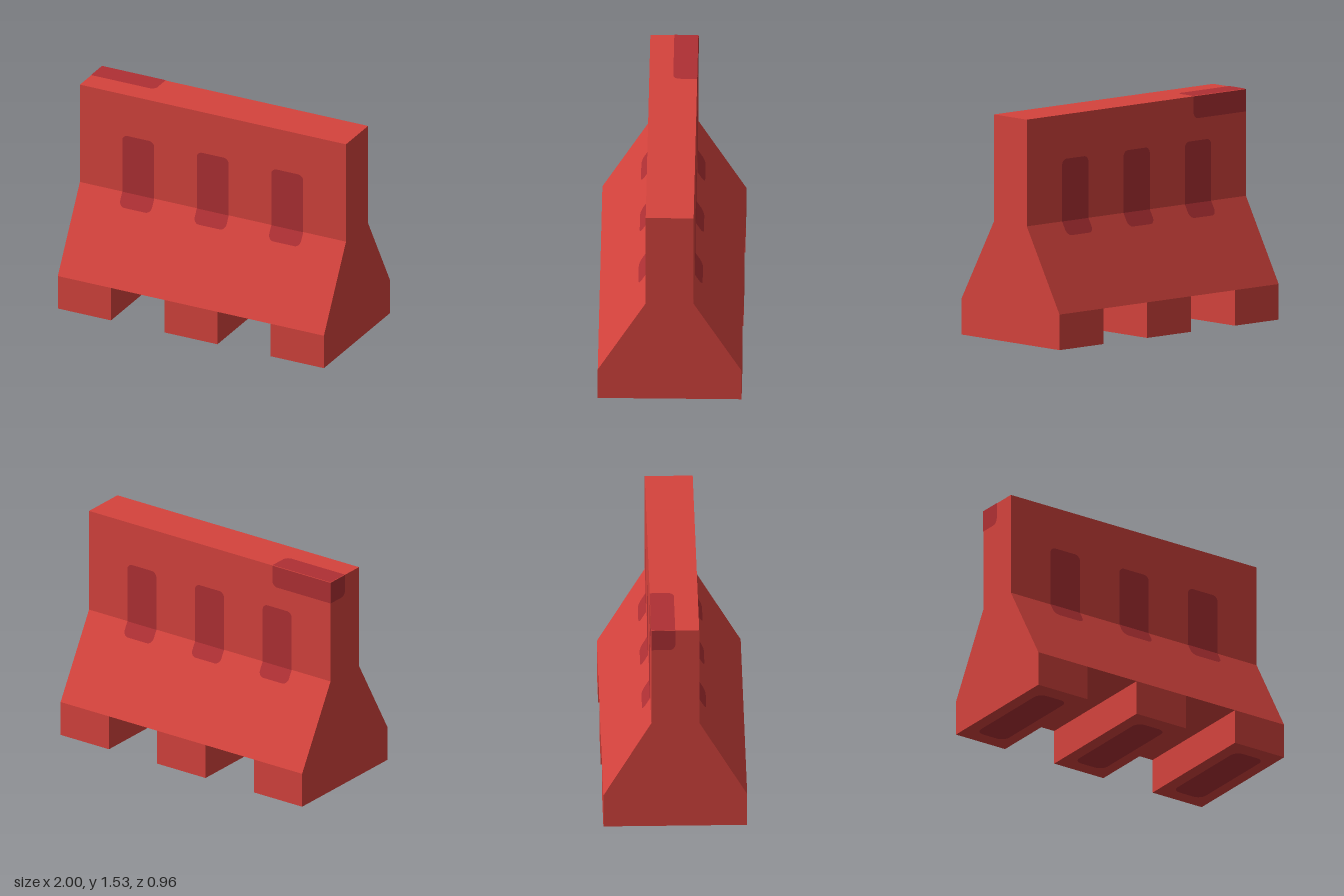
import * as THREE from 'three';

const GAP = 0.003; // how far painted faces sit off the surface

// Rectangle with its own radius per corner: bottom left, bottom right, top right, top left
function panel(x0, y0, x1, y1, [bl, br, tr, tl]) {
  const s = new THREE.Shape();
  s.moveTo(x0 + bl, y0);
  s.lineTo(x1 - br, y0);
  if (br) s.absarc(x1 - br, y0 + br, br, -Math.PI / 2, 0);
  s.lineTo(x1, y1 - tr);
  if (tr) s.absarc(x1 - tr, y1 - tr, tr, 0, Math.PI / 2);
  s.lineTo(x0 + tl, y1);
  if (tl) s.absarc(x0 + tl, y1 - tl, tl, Math.PI / 2, Math.PI);
  s.lineTo(x0, y0 + bl);
  if (bl) s.absarc(x0 + bl, y0 + bl, bl, Math.PI, Math.PI * 1.5);
  return new THREE.ShapeGeometry(s, 6);
}

export function createModel() {
  const model = new THREE.Group();
  model.name = 'roadBarrier';
  const red = new THREE.MeshStandardMaterial({ color: 0xd5433d });
  red.name = 'barrierRed';
  const darkRed = new THREE.MeshStandardMaterial({ color: 0xaf3034 });
  darkRed.name = 'recessDarkRed';

  const add = (name, geometry, material, parent = model) => {
    const mesh = new THREE.Mesh(geometry, material);
    mesh.name = name;
    parent.add(mesh);
    return mesh;
  };

  // Barrier wall: tapered cross-section swept along x
  const profile = new THREE.Shape([
    [-0.48, 0.24], [0.48, 0.24], [0.16, 0.8], [0.16, 1.52], [-0.16, 1.52], [-0.16, 0.8],
  ].map(([z, y]) => new THREE.Vector2(z, y)));
  const wall = new THREE.ExtrudeGeometry(profile, { depth: 2, bevelEnabled: false });
  wall.translate(0, 0, -1).rotateY(Math.PI / 2);
  add('wall', wall, red);

  // Three feet with a dark opening underneath each
  for (const x of [-0.8, 0, 0.8]) {
    add('foot', new THREE.BoxGeometry(0.4, 0.24, 0.96), red).position.set(x, 0.12, 0);
    const opening = panel(-0.115, -0.37, 0.115, 0.37, [0.06, 0.06, 0.06, 0.06]);
    add('footOpening', opening.rotateX(Math.PI / 2), darkRed).position.set(x, -GAP, 0);
  }

  // Slots on both faces, folded where the wall meets the slope
  for (const [side, turn] of [['front', 0], ['back', Math.PI]]) {
    const slots = new THREE.Group();
    slots.name = side + 'Slots';
    slots.rotation.y = turn;
    model.add(slots);
    for (const x of [-0.56, 0, 0.56]) {
      const upper = panel(x - 0.12, 0.8, x + 0.12, 1.22, [0, 0, 0.04, 0.04]);
      add('slotUpper', upper.translate(0, 0, 0.16 + GAP), darkRed, slots);
      const lower = panel(x - 0.12, 0.71, x + 0.12, 0.8, [0.04, 0.04, 0, 0]);
      const p = lower.attributes.position;
      for (let i = 0; i < p.count; i++) {
        p.setZ(i, 0.16 + GAP + (0.8 - p.getY(i)) * 0.32 / 0.56);
      }
      lower.computeVertexNormals();
      add('slotLower', lower, darkRed, slots);
    }
  }

  // Dark patch wrapped round the top corner at the back
  const r = 0.04;
  const top = panel(-1, 0, -0.52, 0.16, [0, r, 0, 0]).rotateX(-Math.PI / 2);
  add('cornerPatchTop', top.translate(0, 1.52 + GAP, 0), darkRed);
  const back = panel(0.52, 1.37, 1, 1.52, [r, 0, 0, 0]).rotateY(Math.PI);
  add('cornerPatchBack', back.translate(0, 0, -0.16 - GAP), darkRed);
  const end = panel(-0.16, 1.37, 0, 1.52, [0, r, 0, 0]).rotateY(-Math.PI / 2);
  add('cornerPatchEnd', end.translate(-1 - GAP, 0, 0), darkRed);

  return model;
}
